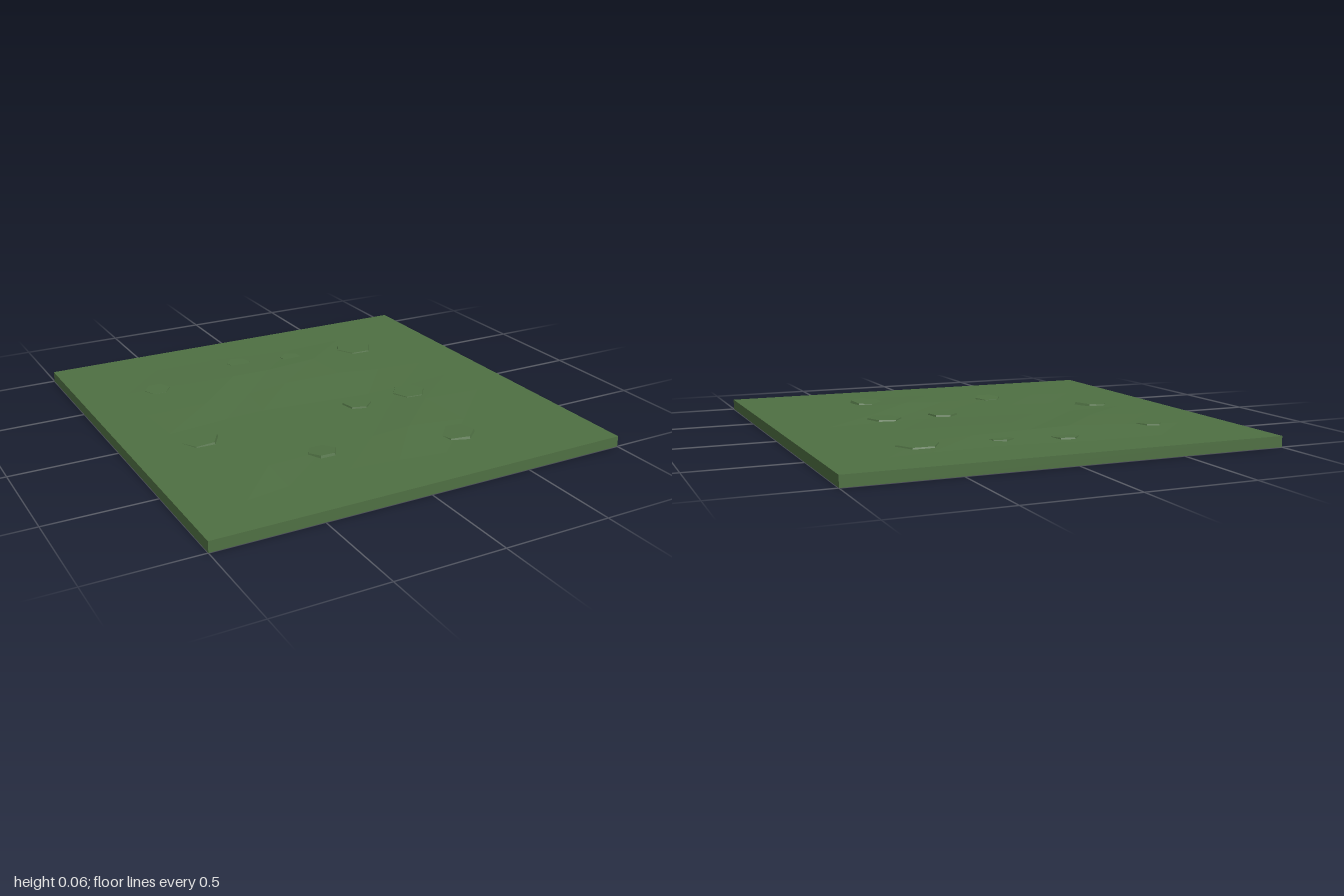
import * as THREE from 'three';

const THICK = 0.05;

// Low bumps of the ground: x, z, height above the slab
const BUMPS = [
  [-0.5, -0.5, 0.007], [-0.25, -0.5, 0.014], [0, -0.5, 0.011], [0.25, -0.5, 0.011], [0.5, -0.5, 0.003],
  [-0.5, -0.25, 0.01], [-0.25, -0.25, 0.003], [0, -0.25, 0.008], [0.25, -0.25, 0.01], [0.5, -0.25, 0.003],
  [0.25, 0.25, 0.003], [0.5, 0.25, 0.005], [-0.5, 0.5, 0.004], [0, 0.5, 0.002], [0.25, 0.5, 0.011],
];

// Flat six-sided clumps: x, z, radius, turn, tilt about x, tilt about z
const CLUMPS = [
  [0.54, -0.58, 0.1, 0.5, 0, 0], [0.16, 0.11, 0.072, 0.2, 0, 0], [0.46, 0.1, 0.085, 0.4, 0, 0.02],
  [-0.67, 0.14, 0.09, 0.5, 0, 0.07], [-0.25, 0.51, 0.07, 0.5, -0.08, 0], [0.38, 0.62, 0.09, 0.2, -0.05, 0.06],
  [-0.11, -0.66, 0.065, 0.3, 0.04, 0], [0.17, -0.6, 0.06, 0.1, 0.05, 0], [-0.62, -0.51, 0.065, 0.4, 0.04, 0.04],
];

export function createModel() {
  const model = new THREE.Group();
  model.name = 'grassTile';
  const grass = new THREE.MeshStandardMaterial({ color: 0x4f7043, flatShading: true, side: THREE.DoubleSide });
  grass.name = 'grass green';

  const add = (geometry, name) => {
    const mesh = new THREE.Mesh(geometry, grass);
    mesh.name = name;
    model.add(mesh);
    return mesh;
  };

  // Faceted ground surface
  const ground = new THREE.PlaneGeometry(2, 2, 8, 8).rotateX(-Math.PI / 2);
  const p = ground.attributes.position;
  for (let i = 0; i < p.count; i++) {
    const x = p.getX(i), z = p.getZ(i);
    const bump = BUMPS.find(b => Math.abs(b[0] - x) < 0.01 && Math.abs(b[1] - z) < 0.01);
    p.setY(i, THICK + (bump ? bump[2] : 0));
    // Uneven spacing of the inner grid points
    if (Math.max(Math.abs(x), Math.abs(z)) < 0.9) {
      p.setX(i, x + 0.03 * Math.sin(9 * x + 4 * z));
      p.setZ(i, z + 0.03 * Math.sin(5 * x + 8 * z));
    }
  }
  ground.computeVertexNormals();
  add(ground, 'ground');

  // Four side walls, open underneath
  for (let i = 0; i < 4; i++) {
    const wall = new THREE.PlaneGeometry(2, THICK).translate(0, THICK / 2, 1).rotateY(i * Math.PI / 2);
    add(wall, 'sideWall' + (i + 1));
  }

  // Grass clumps set into the ground
  CLUMPS.forEach(([x, z, r, turn, tiltX, tiltZ], i) => {
    const disc = new THREE.CylinderGeometry(r * 0.95, r, 0.012, 6).rotateY(turn);
    const clump = add(disc, 'grassClump' + (i + 1));
    clump.position.set(x, THICK + (tiltX || tiltZ ? 0.001 : 0.002), z);
    clump.rotation.set(tiltX, 0, tiltZ);
  });

  return model;
}
